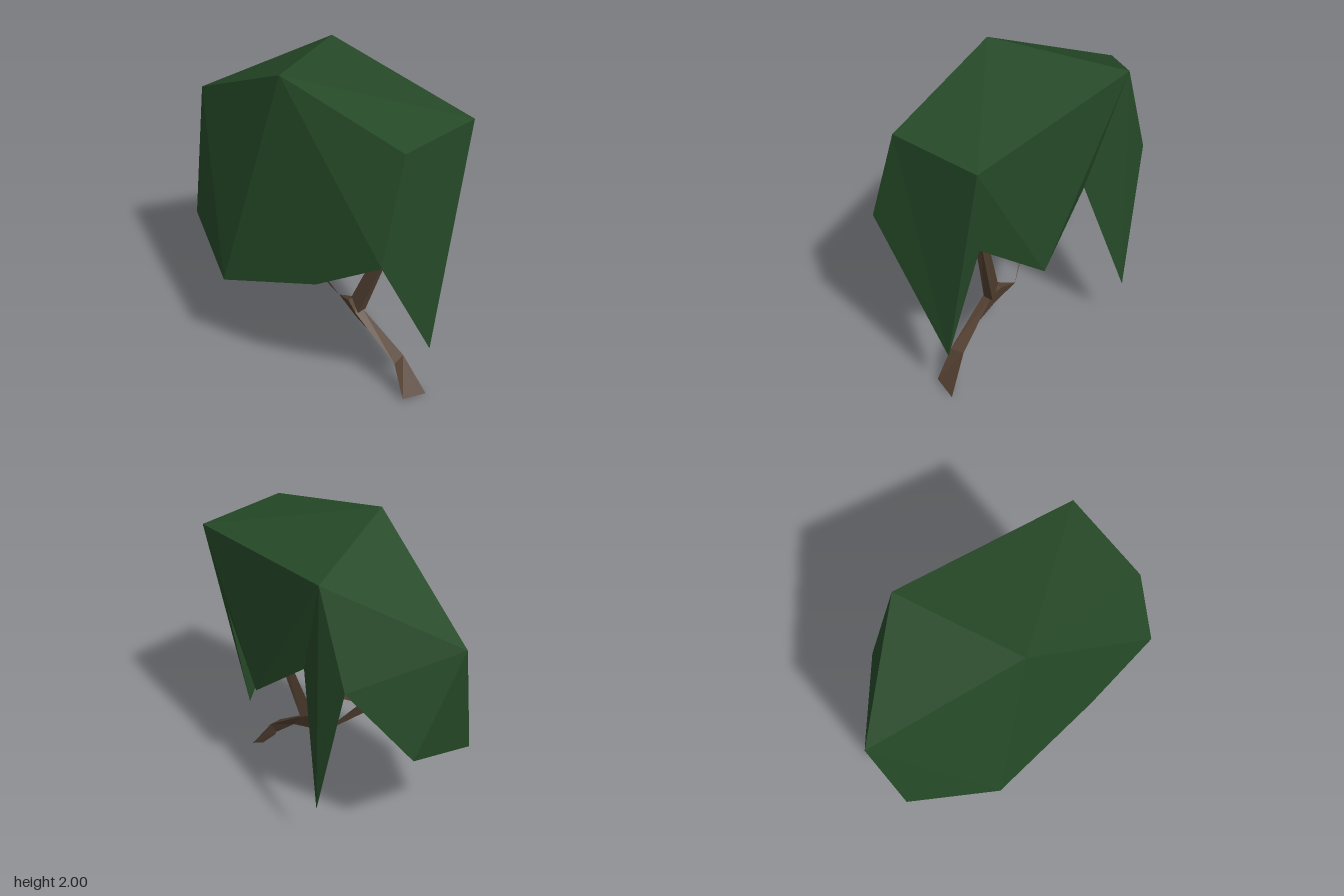
import * as THREE from 'three';

const leaf = new THREE.MeshStandardMaterial({ color: 0x264a28, name: 'leaf green' });
const bark = new THREE.MeshStandardMaterial({ color: 0x544132, name: 'bark brown', side: THREE.DoubleSide });

// Flat-shaded mesh from a list of triangles, each three [x, y, z] corners
function facetMesh(name, triangles, material) {
  const geometry = new THREE.BufferGeometry();
  geometry.setAttribute('position', new THREE.Float32BufferAttribute(triangles.flat(2), 3));
  geometry.computeVertexNormals();
  const mesh = new THREE.Mesh(geometry, material);
  mesh.name = name;
  return mesh;
}

// Three-sided limb lofted through cross-sections; a one-point section tapers to a tip
function limb(name, sections) {
  const rings = sections.map(s => (s.length === 1 ? [s[0], s[0], s[0]] : s));
  const triangles = [];
  for (let i = 0; i < rings.length - 1; i++) {
    const a = rings[i], b = rings[i + 1];
    for (let j = 0; j < 3; j++) {
      const k = (j + 1) % 3;
      if (sections[i].length > 1) triangles.push([a[j], a[k], b[k]]);
      if (sections[i + 1].length > 1) triangles.push([a[j], b[k], b[j]]);
      else if (sections[i].length === 1) triangles.push([a[j], b[k], b[j]]);
    }
  }
  if (sections[0].length > 1) triangles.push([rings[0][0], rings[0][2], rings[0][1]]);
  if (sections.at(-1).length > 1) triangles.push(rings.at(-1));
  return facetMesh(name, triangles, bark);
}

function createCanopy() {
  const corners = {
    // crown
    A: [-0.31, 2.0, 0.02], B: [0.47, 1.91, -0.3], C: [0.35, 1.79, 0.89],
    D: [-0.25, 1.8, 0.89], E: [-0.07, 1.55, -0.91],
    // lower rim: front drape, side notches, side drape, back, other side
    G: [-0.44, 1.18, 0.91], H: [0.07, 0.35, 0.88], J: [0.27, 1.2, 0.8],
    K: [0.4, 0.85, 0.38], L: [0.365, 1.2, -0.04], I: [0.505, 0.37, -0.29],
    M: [0.465, 1.3, -0.5], N: [0.2, 0.86, -0.79], O: [-0.25, 0.75, -0.815],
    F: [-0.51, 0.59, -0.29], P: [-0.47, 0.88, 0.45],
  };
  const outside = 'ADC ACB ABE AEF AFP APG AGD CDH DGH CHJ CJK CKB BKL BLI BIM BME EMN ENO EOF';
  const underside = 'HGJ JGP KJP LKP MLP MIL NMO OMP OPF';
  const triangles = `${outside} ${underside}`.split(' ').map(f => [...f].map(c => corners[c]));
  return facetMesh('canopy', triangles, leaf);
}

export function createModel() {
  const tree = new THREE.Group();
  tree.name = 'tree';
  tree.add(createCanopy());

  // Leaning trunk running to a pointed fork
  tree.add(limb('trunk', [
    [[-0.09, 0.02, 0.82], [0.07, 0, 0.87], [0.03, 0.015, 0.81]],
    [[-0.06, 0.22, 0.72], [0.035, 0.23, 0.71], [0, 0.16, 0.69]],
    [[-0.06, 0.44, 0.4], [0, 0.45, 0.4], [-0.02, 0.3, 0.53]],
    [[-0.05, 0.5, 0.33], [0.02, 0.49, 0.33], [-0.01, 0.37, 0.36]],
    [[0.02, 0.44, 0.19]],
  ]));

  // Branch reaching up and forward
  tree.add(limb('frontBranch', [
    [[-0.05, 0.44, 0.41], [0.02, 0.44, 0.41], [-0.01, 0.5, 0.32]],
    [[0.06, 1.03, 0.6], [0.1, 1.03, 0.59], [0.08, 1.0, 0.51]],
  ]));

  // Branch reaching back, then bending sideways to a tip
  tree.add(limb('backBranch', [
    [[0.02, 0.44, 0.19]],
    [[-0.13, 0.87, -0.15], [-0.09, 0.86, -0.16], [-0.11, 0.77, -0.17]],
    [[0.27, 1.0, -0.1]],
  ]));

  return tree;
}
